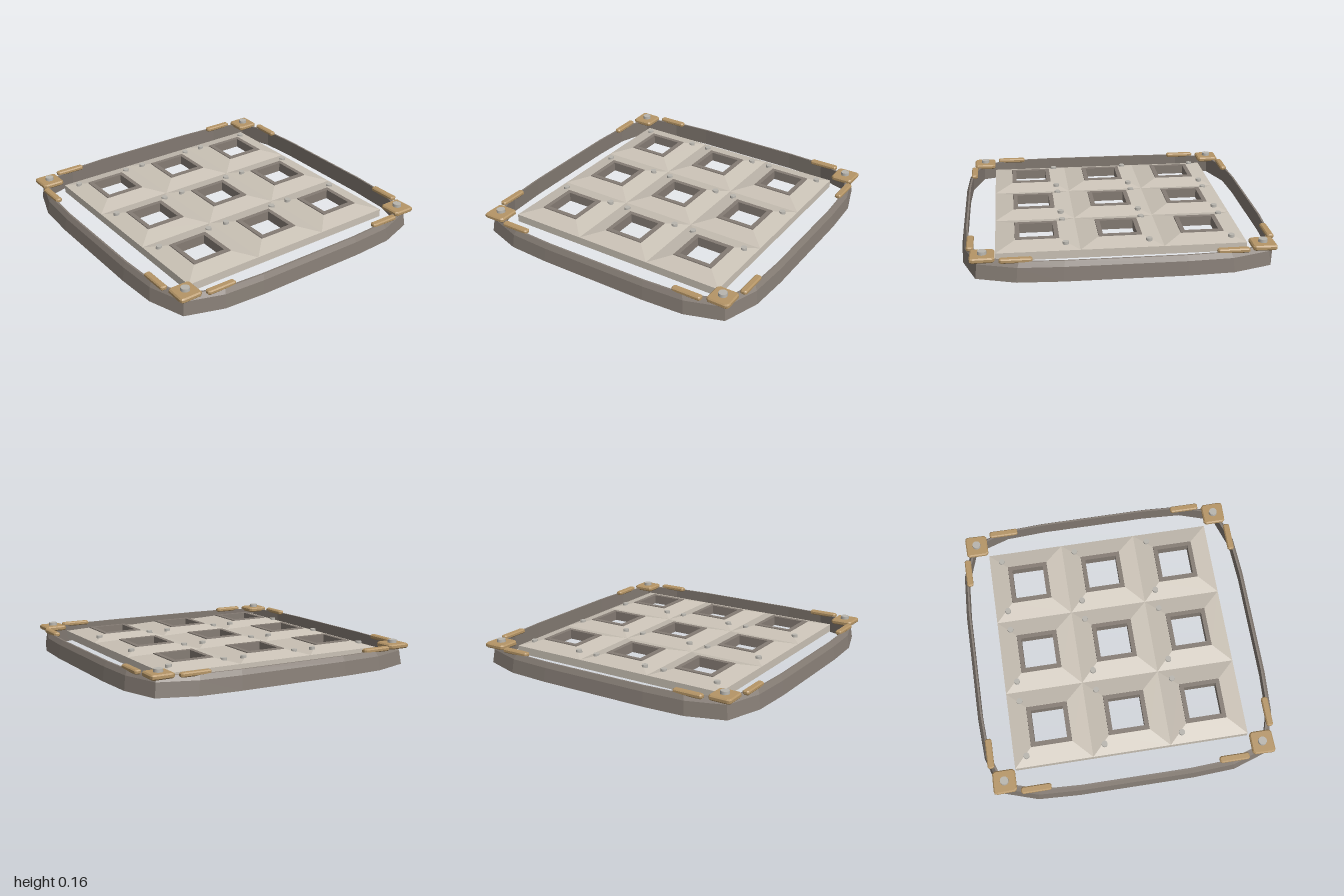
import * as THREE from 'three';

const mat = (name, color) => {
  const m = new THREE.MeshStandardMaterial({ color });
  m.name = name;
  return m;
};

// Sweeps a closed profile of [scale, y] pairs around a closed outline of [x, z] points.
function ringGeometry(outline, profile) {
  const pos = [];
  const at = (i, j) => {
    const [x, z] = outline[i % outline.length];
    const [s, y] = profile[j % profile.length];
    return [x * s, y, z * s];
  };
  for (let i = 0; i < outline.length; i++) {
    for (let j = 0; j < profile.length; j++) {
      const a = at(i, j), b = at(i + 1, j), c = at(i + 1, j + 1), d = at(i, j + 1);
      pos.push(...a, ...d, ...c, ...a, ...c, ...b);
    }
  }
  const g = new THREE.BufferGeometry();
  g.setAttribute('position', new THREE.Float32BufferAttribute(pos, 3));
  g.computeVertexNormals();
  return g;
}

// Flat plate with bevelled edges, lying between y0 and y1; points are [x, z].
function plateGeometry(points, y0, y1, bevel) {
  const shape = new THREE.Shape(points.map(([x, z]) => new THREE.Vector2(x, -z)));
  const g = new THREE.ExtrudeGeometry(shape, {
    depth: y1 - y0 - 2 * bevel, bevelEnabled: true, bevelSegments: 1,
    bevelSize: bevel, bevelThickness: bevel, bevelOffset: -bevel,
  });
  g.rotateX(-Math.PI / 2);
  g.translate(0, y0 + bevel, 0);
  return g;
}

export function createModel() {
  const model = new THREE.Group();
  model.name = 'gratedPanel';
  const stone = mat('pale stone', 0xcac2b6);
  const steel = mat('dark steel', 0x857c74);
  const brass = mat('tan brass', 0xb59566);
  const boltGrey = mat('bolt grey', 0xb8b5ae);

  const add = (parent, name, geometry, material, x = 0, y = 0, z = 0) => {
    const mesh = new THREE.Mesh(geometry, material);
    mesh.name = name;
    mesh.position.set(x, y, z);
    parent.add(mesh);
    return mesh;
  };

  // Outer frame: bowed sides meeting at chamfered corners
  const quarter = [[1, -0.38], [1, 0.38], [0.985, 0.66], [0.905, 0.905], [0.66, 0.985]];
  const outline = [];
  for (let k = 0; k < 4; k++) {
    for (const [x, z] of quarter) {
      outline.push([[x, z], [-z, x], [-x, -z], [z, -x]][k]);
    }
  }
  add(model, 'outerFrame', ringGeometry(outline,
    [[1, 0], [0.988, 0.09], [0.97, 0.122], [0.958, 0.122], [0.965, 0]]), steel);

  // Nine pyramid tiles, each with a lined square opening and two studs
  const square = [[1, -1], [1, 1], [-1, 1], [-1, -1]];
  const tileGeo = ringGeometry(square,
    [[0.261, 0.052], [0.261, 0.105], [0.14, 0.136], [0.115, 0.136], [0.115, 0.08]]);
  const rimGeo = ringGeometry(square,
    [[0.14, 0.125], [0.137, 0.142], [0.108, 0.142], [0.108, 0.078], [0.118, 0.078]]);
  const studGeo = new THREE.CylinderGeometry(0.02, 0.022, 0.03, 10);
  for (let r = -1; r <= 1; r++) {
    for (let c = -1; c <= 1; c++) {
      const tile = new THREE.Group();
      tile.name = 'tile';
      tile.position.set(c * 0.522, 0, r * 0.522);
      add(tile, 'tileSlab', tileGeo, stone);
      add(tile, 'openingRim', rimGeo, steel);
      for (const s of [-1, 1]) add(tile, 'stud', studGeo, boltGrey, s * 0.19, 0.122, -0.175);
      model.add(tile);
    }
  }

  // Corner pads with bolts, and a clip strip on each side of every corner
  const padGeo = plateGeometry([
    [-0.075, 0.06], [-0.06, 0.075], [0.055, 0.078], [0.073, 0.073],
    [0.078, 0.055], [0.075, -0.06], [0.06, -0.075], [-0.06, -0.075], [-0.075, -0.06],
  ], 0.11, 0.142, 0.008);
  const clipGeo = plateGeometry([
    [-0.1, 0.012], [-0.09, 0.022], [0.09, 0.022], [0.1, 0.012],
    [0.1, -0.012], [0.09, -0.022], [-0.09, -0.022], [-0.1, -0.012],
  ], 0.112, 0.14, 0.007);
  const boltGeo = new THREE.CylinderGeometry(0.028, 0.03, 0.03, 12);
  for (let k = 0; k < 4; k++) {
    const corner = new THREE.Group();
    corner.name = 'corner';
    corner.rotation.y = k * Math.PI / 2;
    add(corner, 'cornerPad', padGeo, brass, 0.86, 0, 0.86);
    add(corner, 'cornerBolt', boltGeo, boltGrey, 0.86, 0.147, 0.86);
    add(corner, 'clipStrip', clipGeo, brass, 0.66, 0, 0.937);
    add(corner, 'clipStrip', clipGeo, brass, 0.937, 0, 0.66).rotation.y = Math.PI / 2;
    model.add(corner);
  }
  return model;
}
